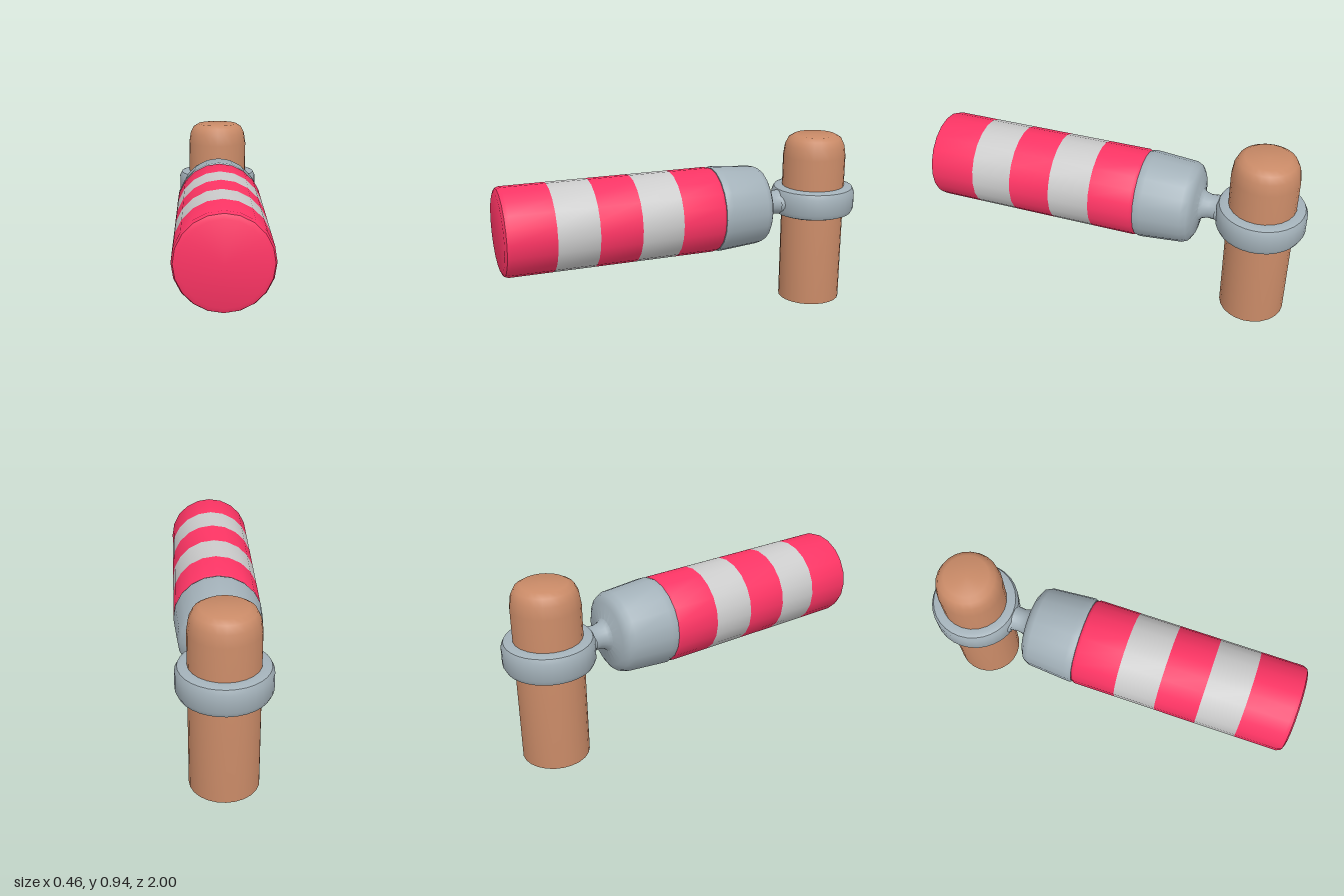
import * as THREE from 'three';
import { toCreasedNormals } from 'three/addons/utils/BufferGeometryUtils.js';

const PINK = 0xff3565, GREY = 0xcccccc, STEEL = 0xa3b1b9, BROWN = 0xc98a67;
const ARM_Y = 0.58, POST_Z = -0.77;

// Turned part from [radius, height] pairs, listed upwards along the outside
function turned(name, profile, color, segments, crease = 0.7) {
  const points = profile.map(([r, h]) => new THREE.Vector2(r, h));
  const geometry = toCreasedNormals(new THREE.LatheGeometry(points, segments), crease);
  const mesh = new THREE.Mesh(geometry, new THREE.MeshStandardMaterial({ color }));
  mesh.name = name;
  return mesh;
}

// Turned part whose axis runs along z at arm height
function turnedAlongZ(name, profile, color, segments) {
  const mesh = turned(name, profile, color, segments);
  mesh.geometry.rotateX(Math.PI / 2);
  mesh.position.y = ARM_Y;
  return mesh;
}

export function createModel() {
  const model = new THREE.Group();

  // Upright post with rounded top and shallow recessed base
  const post = turned('post', [
    [0, 0.04], [0.17, 0.04], [0.172, 0], [0.172, 0.83], [0.163, 0.89],
    [0.145, 0.927], [0.115, 0.945], [0, 0.945],
  ], BROWN, 24);
  post.material.side = THREE.DoubleSide;
  post.position.z = POST_Z;
  model.add(post);

  // Ring clasping the post
  const ring = turned('ring', [
    [0.168, 0.505], [0.198, 0.505], [0.218, 0.513], [0.23, 0.538],
    [0.23, 0.627], [0.218, 0.652], [0.198, 0.66], [0.168, 0.66], [0.168, 0.505],
  ], STEEL, 32);
  ring.position.z = POST_Z;
  model.add(ring);

  // Socket tapering into the waisted neck
  model.add(turnedAlongZ('socket', [
    [0.075, -0.575], [0.066, -0.545], [0.062, -0.505], [0.07, -0.475], [0.085, -0.458],
    [0.165, -0.445], [0.2, -0.425], [0.214, -0.395], [0.23, -0.19],
    [0.231, -0.165], [0.226, -0.15], [0, -0.15],
  ], STEEL, 20));

  // Flared root joining the neck to the ring
  const root = turnedAlongZ('neckRoot', [
    [0.09, -0.6], [0.085, -0.575], [0.066, -0.54],
  ], STEEL, 20);
  root.scale.set(1.15, 0.85, 1);
  model.add(root);

  // Striped arm
  const arm = new THREE.Group();
  arm.name = 'stripedArm';
  const R = 0.23;
  const edges = [-0.155, 0.09, 0.31, 0.53, 0.745, 1];
  for (let i = 0; i < 5; i++) {
    const a = edges[i], b = edges[i + 1];
    const profile = [];
    if (i === 0) profile.push([0, a], [R - 0.022, a], [R - 0.007, a + 0.007], [R, a + 0.022]);
    else profile.push([R, a]);
    if (i === 4) profile.push([R, b - 0.03], [R - 0.008, b - 0.009], [R - 0.03, b], [0, b]);
    else profile.push([R, b]);
    arm.add(turnedAlongZ('stripe' + (i + 1), profile, i % 2 ? GREY : PINK, 20));
  }
  model.add(arm);

  return model;
}
